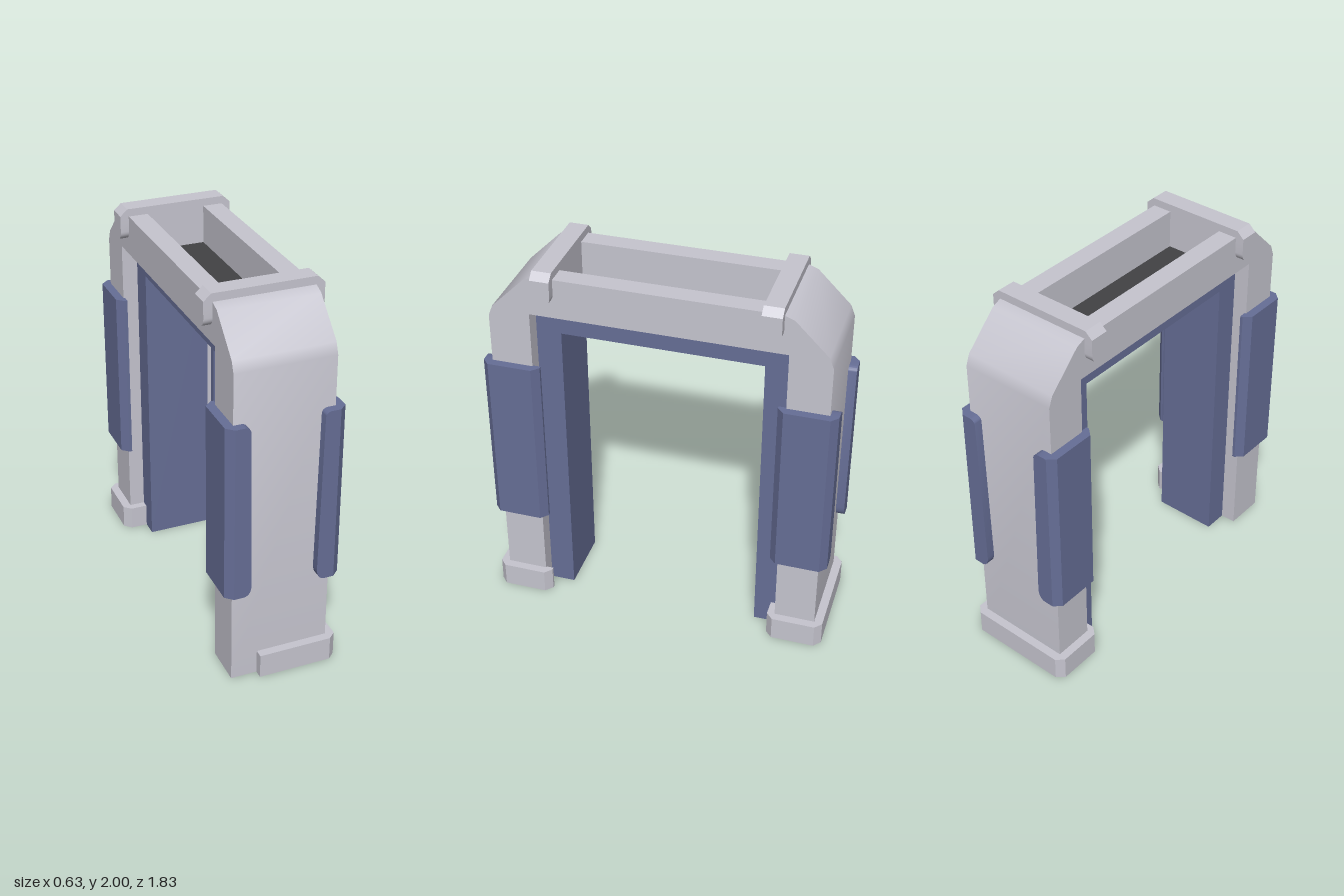
import * as THREE from 'three';
import { toCreasedNormals } from 'three/addons/utils/BufferGeometryUtils.js';

const grey = new THREE.MeshStandardMaterial({ name: 'light grey', color: 0xc6c5cf });
const blue = new THREE.MeshStandardMaterial({ name: 'slate blue', color: 0x666e96 });
const dark = new THREE.MeshStandardMaterial({ name: 'charcoal', color: 0x424244 });

const polygon = (points) => new THREE.Shape(points.map(([a, b]) => new THREE.Vector2(a, b)));
const extrude = (shape, depth) =>
  new THREE.ExtrudeGeometry(shape, { depth, bevelEnabled: false, curveSegments: 8 });

function add(parent, name, geometry, material) {
  const mesh = new THREE.Mesh(toCreasedNormals(geometry, 0.6), material);
  mesh.name = name;
  parent.add(mesh);
  return mesh;
}

// Side profile given as (z, y), running along x from x0 to x1
const alongX = (shape, x0, x1) =>
  extrude(shape, x1 - x0).rotateY(-Math.PI / 2).translate(x1, 0, 0);

// Floor plan given as (x, z), running along y from y0 to y1
const alongY = (plan, y0, y1) =>
  extrude(polygon(plan.map(([x, z]) => [x, -z])), y1 - y0).rotateX(-Math.PI / 2).translate(0, y0, 0);

// Wraparound corner guard: side piece plus a front flap with rounded inner corners
function addCornerGuard(leg, side) {
  const guard = new THREE.Group();
  guard.name = side > 0 ? 'leftCornerGuard' : 'rightCornerGuard';
  const plan = [[0.25, 0.91], [0.265, 0.91], [0.303, 0.875], [0.303, 0.645], [0.265, 0.61], [0.25, 0.61]];
  add(guard, 'guardSide', alongY(plan.map(([x, z]) => [x * side, z]), 0.515, 1.45), blue);

  const flap = new THREE.Shape();
  flap.moveTo(side * 0.25, 0.515);
  flap.lineTo(side * 0.215, 0.515);
  flap.quadraticCurveTo(side * 0.174, 0.52, side * 0.174, 0.58);
  flap.lineTo(side * 0.187, 1.425);
  flap.quadraticCurveTo(side * 0.19, 1.445, side * 0.215, 1.45);
  flap.lineTo(side * 0.25, 1.45);
  add(guard, 'guardFlap', extrude(flap, 0.055).translate(0, 0, 0.855), blue);
  leg.add(guard);
}

// Clip over the top of the frame with rounded lugs down both sides
function addClip(leg) {
  const clip = new THREE.Group();
  clip.name = 'topClip';
  const bar = polygon([[-0.303, 1.94], [0.303, 1.94], [0.303, 1.965], [0.265, 2], [-0.265, 2], [-0.303, 1.965]]);
  add(clip, 'clipBar', extrude(bar, 0.1).translate(0, 0, 0.52), grey);

  const lug = new THREE.Shape();
  lug.moveTo(0.62, 1.94);
  lug.lineTo(0.52, 1.94);
  lug.lineTo(0.52, 1.88);
  lug.absarc(0.57, 1.88, 0.05, Math.PI, Math.PI * 2, false);
  lug.lineTo(0.62, 1.94);
  for (const side of [-1, 1]) {
    const x = side > 0 ? 0.25 : -0.303;
    add(clip, 'clipLug', alongX(lug, x, x + 0.053), grey);
  }
  leg.add(clip);
}

// One end of the arch, facing +z; the foot may cover only part of the width
function makeLeg(name, fullFoot) {
  const leg = new THREE.Group();
  leg.name = name;
  const profile = polygon([
    [0.65, 0], [0.865, 0], [0.865, 1.71], [0.843, 1.767],
    [0.67, 1.938], [0.615, 1.96], [0.52, 1.96], [0.52, 1.75], [0.65, 1.75],
  ]);
  add(leg, 'legFrame', alongX(profile, -0.258, 0.258), grey);

  const right = fullFoot
    ? [[-0.265, 0.61], [-0.303, 0.645], [-0.303, 0.875], [-0.265, 0.91]]
    : [[-0.12, 0.7], [-0.12, 0.91]];
  const left = [[0.265, 0.91], [0.303, 0.875], [0.303, 0.645], [0.265, 0.61]];
  const inner = fullFoot ? [] : [[0.25, 0.61], [0.25, 0.7]];
  add(leg, 'foot', alongY([...right, ...left, ...inner], 0, 0.13), grey);

  for (const side of [-1, 1]) addCornerGuard(leg, side);
  addClip(leg);
  return leg;
}

export function createModel() {
  const model = new THREE.Group();
  model.name = 'archway';
  const arch = new THREE.Group();
  arch.name = 'arch';
  arch.rotation.y = 0.011; // the arch stands slightly turned
  model.add(arch);

  // Front and back ends
  arch.add(makeLeg('frontLeg', false));
  const back = makeLeg('backLeg', true);
  back.rotation.y = Math.PI;
  arch.add(back);

  // Top rails with an open trough between them
  for (const side of [-1, 1]) {
    const rail = add(arch, side > 0 ? 'leftRail' : 'rightRail', new THREE.BoxGeometry(0.104, 0.21, 1.04), grey);
    rail.position.set(side * 0.206, 1.855, 0);
  }
  const floor = add(arch, 'troughFloor', new THREE.BoxGeometry(0.308, 0.008, 1.04), dark);
  floor.position.y = 1.754;

  // Inner lining of the doorway
  const lining = polygon([
    [-0.65, 0], [-0.52, 0], [-0.52, 1.615], [0.52, 1.615],
    [0.52, 0], [0.65, 0], [0.65, 1.75], [-0.65, 1.75],
  ]);
  add(arch, 'doorwayLining', alongX(lining, -0.175, 0.175), blue);

  return model;
}
